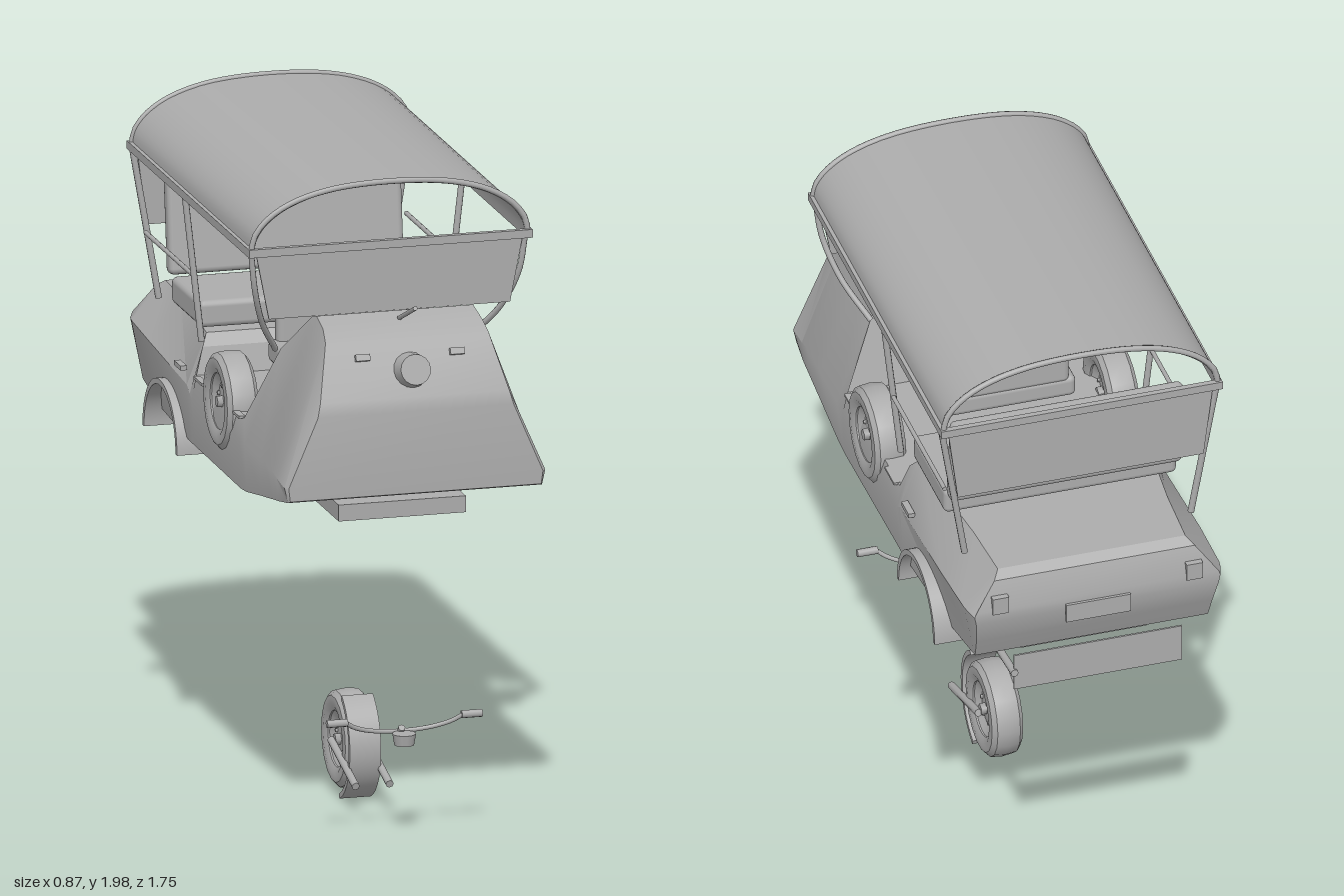
import * as THREE from 'three';
import { toCreasedNormals } from 'three/addons/utils/BufferGeometryUtils.js';
import { RoundedBoxGeometry } from 'three/addons/geometries/RoundedBoxGeometry.js';

export function createModel() {
  const root = new THREE.Group();
  root.name = 'threeWheeler';
  const grey = new THREE.MeshStandardMaterial({ color: 0xacacac, side: THREE.DoubleSide });
  grey.name = 'plain grey';
  const V = (x, y, z) => new THREE.Vector3(x, y, z);

  function add(name, geo, x = 0, y = 0, z = 0, parent = root) {
    const m = new THREE.Mesh(geo, grey);
    m.name = name;
    m.position.set(x, y, z);
    parent.add(m);
    return m;
  }
  const box = (name, w, h, d, x, y, z) => add(name, new THREE.BoxGeometry(w, h, d), x, y, z);
  const cushion = (name, w, h, d, x, y, z) => add(name, new RoundedBoxGeometry(w, h, d, 2, 0.018), x, y, z);
  // round bar between two points
  function rod(name, a, b, r = 0.01, sides = 8) {
    const m = add(name, new THREE.CylinderGeometry(r, r, a.distanceTo(b), sides));
    m.position.copy(a).add(b).multiplyScalar(0.5);
    m.quaternion.setFromUnitVectors(V(0, 1, 0), b.clone().sub(a).normalize());
    return m;
  }
  const tube = (name, pts, r, n = 20) =>
    add(name, new THREE.TubeGeometry(new THREE.CatmullRomCurve3(pts), n, r, 8));

  // ---- body shell: sections [z, bottomY, bottomW, midY, midW, topY, topW]
  const sections = [
    [0.865, 1.11, 0.385, 1.15, 0.39, 1.36, 0.3],
    [0.855, 1.105, 0.39, 1.15, 0.4, 1.40, 0.29],
    [0.77, 1.09, 0.395, 1.16, 0.4, 1.56, 0.25],
    [0.72, 1.082, 0.395, 1.17, 0.4, 1.59, 0.243],
    [0.64, 1.068, 0.395, 1.17, 0.4, 1.61, 0.24],
    [0.59, 1.06, 0.395, 1.17, 0.4, 1.595, 0.24],
    [0.43, 1.031, 0.395, 1.17, 0.4, 1.46, 0.29],
    [0.37, 1.026, 0.395, 1.17, 0.4, 1.24, 0.385],
    [-0.14, 1.026, 0.39, 1.17, 0.4, 1.24, 0.385],
    [-0.16, 1.026, 0.39, 1.18, 0.4, 1.32, 0.36],
    [-0.19, 1.026, 0.39, 1.2, 0.4, 1.355, 0.34],
    [-0.6, 1.026, 0.365, 1.23, 0.4, 1.355, 0.3],
    [-0.8, 1.06, 0.36, 1.24, 0.395, 1.355, 0.29],
    [-0.83, 1.13, 0.365, 1.24, 0.39, 1.335, 0.31],
    [-0.86, 1.21, 0.375, 1.235, 0.38, 1.25, 0.375],
  ];
  const pos = [], idx = [], N = 6;
  for (const [z, yb, wb, ym, wm, yt, wt] of sections)
    pos.push(-wb, yb, z, wb, yb, z, wm, ym, z, wt, yt, z, -wt, yt, z, -wm, ym, z);
  for (let s = 0; s < sections.length - 1; s++)
    for (let i = 0; i < N; i++) {
      const a = s * N + i, b = s * N + (i + 1) % N;
      idx.push(a, a + N, b, b, a + N, b + N);
    }
  const last = (sections.length - 1) * N;
  for (let i = 1; i < N - 1; i++) {
    idx.push(0, i, i + 1);
    idx.push(last, last + i + 1, last + i);
  }
  const bodyGeo = new THREE.BufferGeometry();
  bodyGeo.setAttribute('position', new THREE.Float32BufferAttribute(pos, 3));
  bodyGeo.setIndex(idx);
  add('body', toCreasedNormals(bodyGeo, 0.45));

  // ---- chassis, axle, rear plates
  box('chassis', 0.39, 0.05, 1.44, 0, 1.025, 0);
  rod('rearAxle', V(-0.33, 0.972, -0.41), V(0.33, 0.972, -0.41), 0.025, 12);
  box('rearFlap', 0.52, 0.12, 0.006, 0, 1.02, -0.862);
  rod('exhaustPipe', V(0.26, 1.005, -0.66), V(0.26, 1.022, -0.872), 0.012);
  box('numberPlate', 0.2, 0.06, 0.009, 0, 1.2, -0.866);

  // ---- curved mudguards: ring sector in the side plane
  function guard(name, r0, r1, from, to, width, x, y, z) {
    const s = new THREE.Shape();
    s.absarc(0, 0, r1, from, to, false);
    s.absarc(0, 0, r0, to, from, true);
    const g = new THREE.ExtrudeGeometry(s, { depth: width, bevelEnabled: false, curveSegments: 16 });
    g.translate(0, 0, -width / 2).rotateY(-Math.PI / 2);
    add(name, toCreasedNormals(g, 0.5), x, y, z);
  }

  // ---- wheel, axis along x
  function wheel(name, x, y, z) {
    const g = new THREE.Group();
    g.name = name;
    g.position.set(x, y, z);
    root.add(g);
    const tyre = [[0.085, -0.04], [0.105, -0.05], [0.13, -0.048], [0.145, -0.035], [0.149, 0],
      [0.145, 0.035], [0.13, 0.048], [0.105, 0.05], [0.085, 0.04], [0.085, -0.04]];
    const lathe = (p, n) => toCreasedNormals(
      new THREE.LatheGeometry(p.map(q => new THREE.Vector2(...q)), n).rotateZ(-Math.PI / 2), 0.6);
    add('tyre', lathe(tyre, 18), 0, 0, 0, g);
    add('rim', lathe([[0, -0.03], [0.06, -0.02], [0.087, -0.036], [0.087, 0.036], [0.06, 0.02], [0, 0.03]], 18), 0, 0, 0, g);
    add('hub', new THREE.CylinderGeometry(0.018, 0.018, 0.09, 5).rotateZ(Math.PI / 2), 0, 0, 0, g);
    for (let i = 0; i < 5; i++) {
      const a = i / 5 * Math.PI * 2;
      add('wheelBolt', new THREE.CylinderGeometry(0.006, 0.006, 0.06, 6).rotateZ(Math.PI / 2),
        0, Math.cos(a) * 0.045, Math.sin(a) * 0.045, g);
    }
  }
  wheel('frontWheel', 0, 0.18, 0.15);
  guard('frontMudguard', 0.163, 0.178, -1.2, 1.05, 0.096, 0, 0.18, 0.15);

  // ---- handlebar
  tube('handlebar', [V(-0.18, 0.39, 0.742), V(-0.15, 0.37, 0.728), V(-0.09, 0.35, 0.708), V(0, 0.342, 0.7),
    V(0.09, 0.35, 0.708), V(0.15, 0.37, 0.728), V(0.18, 0.39, 0.742)], 0.007, 24);
  rod('steeringStem', V(0, 0.355, 0.715), V(0, 0.315, 0.68), 0.011);
  add('gaugePod', new THREE.CylinderGeometry(0.036, 0.03, 0.034, 12), 0, 0.327, 0.74);

  // ---- parts mirrored left and right
  for (const s of [1, -1]) {
    const side = s > 0 ? 'left' : 'right';
    wheel(side + 'Wheel', s * 0.362, 1.237, 0.15);
    guard(side + 'Mudguard', 0.168, 0.185, 0, Math.PI, 0.09, s * 0.375, 0.975, -0.41);
    rod(side + 'FrontFork', V(s * 0.052, 0.175, 0.14), V(s * 0.052, 0.1, 0.405), 0.012);
    rod(side + 'Grip', V(s * 0.175, 0.39, 0.742), V(s * 0.238, 0.39, 0.742), 0.012);
    rod(side + 'MiddlePost', V(s * 0.425, 1.79, -0.12), V(s * 0.375, 1.35, -0.12));
    rod(side + 'RearPost', V(s * 0.425, 1.79, -0.68), V(s * 0.35, 1.34, -0.665));
    rod(side + 'Handrail', V(s * 0.4, 1.552, -0.12), V(s * 0.4, 1.552, -0.63), 0.007);
    tube(side + 'FrontStrut', [V(s * 0.42, 1.79, 0.57), V(s * 0.405, 1.68, 0.555),
      V(s * 0.365, 1.56, 0.495), V(s * 0.3, 1.455, 0.41)], 0.009);
    box(side + 'RoofRail', 0.018, 0.025, 1.31, s * 0.426, 1.802, -0.055);
    box(side + 'Indicator', 0.044, 0.02, 0.02, s * 0.145, 1.515, 0.798).rotation.x = -0.42;
    box(side + 'TailLight', 0.05, 0.055, 0.025, s * 0.3, 1.265, -0.852);
    box(side + 'FrontSill', 0.02, 0.008, 0.12, s * 0.388, 1.24, 0.3);
    box(side + 'RearSill', 0.02, 0.008, 0.09, s * 0.388, 1.238, -0.08);
    box(side + 'DoorHandle', 0.02, 0.014, 0.07, s * 0.398, 1.24, -0.265);
  }

  // ---- canopy: thin arched sheet with rims
  const archPts = [[-0.425, 1.8], [-0.415, 1.85], [-0.375, 1.9], [-0.3, 1.945], [-0.18, 1.978], [0, 1.99],
    [0.18, 1.978], [0.3, 1.945], [0.375, 1.9], [0.415, 1.85], [0.425, 1.8]];
  const arch = new THREE.SplineCurve(archPts.map(p => new THREE.Vector2(...p))).getPoints(32);
  const shell = new THREE.Shape([...arch,
    ...arch.map(p => new THREE.Vector2(p.x * 0.98, p.y - 0.008)).reverse()]);
  const roof = new THREE.ExtrudeGeometry(shell, { depth: 1.28, bevelEnabled: false });
  add('roof', toCreasedNormals(roof, 0.6), 0, 0, -0.695);
  for (const z of [0.585, -0.695]) {
    tube('roofRim', archPts.map(p => V(p[0], p[1], z)), 0.009, 36);
    box('roofCrossbar', 0.865, 0.025, 0.018, 0, 1.802, z + (z > 0 ? 0.006 : -0.006));
  }
  // windscreen and rear curtain
  function panel(name, yLow, wLow, z) {
    const s = new THREE.Shape([[-0.41, 1.8], [-wLow, yLow], [wLow, yLow], [0.41, 1.8]]
      .map(p => new THREE.Vector2(...p)));
    add(name, new THREE.ExtrudeGeometry(s, { depth: 0.006, bevelEnabled: false }), 0, 0, z);
  }
  panel('windscreen', 1.595, 0.37, 0.578);
  panel('rearCurtain', 1.56, 0.38, -0.695);

  // ---- seats
  cushion('driverSeat', 0.44, 0.068, 0.27, 0, 1.353, 0.175);
  cushion('driverBackrest', 0.4, 0.18, 0.048, 0, 1.46, 0.065);
  cushion('rearSeat', 0.72, 0.082, 0.315, 0, 1.409, -0.345);
  cushion('rearBackrest', 0.72, 0.285, 0.055, 0, 1.587, -0.548).rotation.x = -0.12;

  // ---- nose details
  const lamp = add('headlight', new THREE.CylinderGeometry(0.046, 0.055, 0.06, 16), 0, 1.478, 0.837);
  lamp.rotation.x = Math.PI / 2 - 0.28;
  rod('noseRod', V(0, 1.672, 0.86), V(0, 1.6, 0.69), 0.007);
  return root;
}
